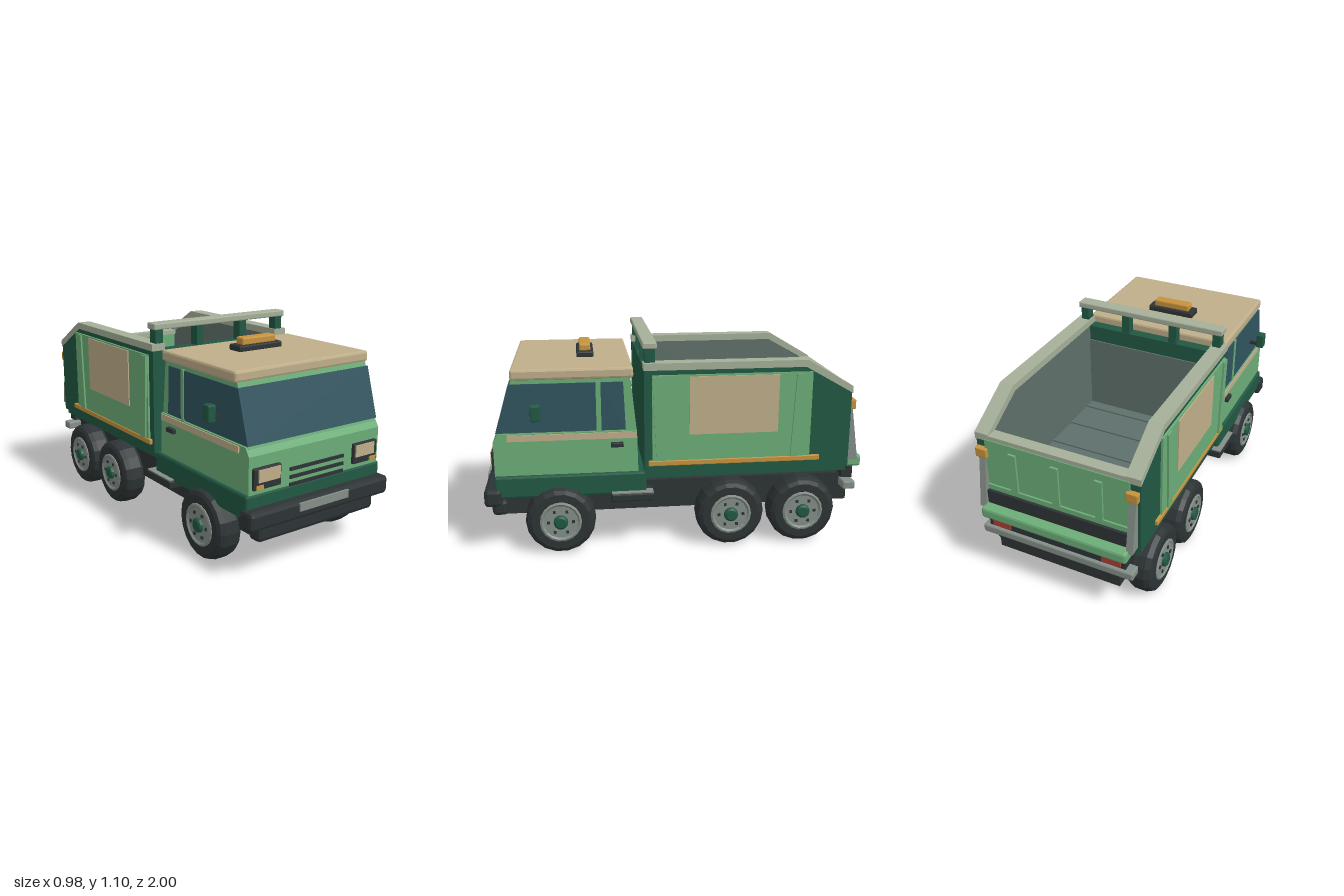
import * as THREE from 'three';
import { RoundedBoxGeometry } from 'three/addons/geometries/RoundedBoxGeometry.js';

const mat = (name, color) => {
  const m = new THREE.MeshStandardMaterial({ color });
  m.name = name;
  m.flatShading = true;
  return m;
};

export function createModel() {
  const truck = new THREE.Group();
  truck.name = 'dumpTruck';
  const green = mat('leafGreen', 0x6cad78);
  const dark = mat('deepGreen', 0x215843);
  const tan = mat('sand', 0xbfae8a);
  const trim = mat('paleTrim', 0xa5af99);
  const black = mat('charcoal', 0x2d3335);
  const glass = mat('glass', 0x31545f);
  const grey = mat('steel', 0x848e88);
  const slate = mat('slate', 0x5f706b);
  const amber = mat('amber', 0xc7933c);
  const red = mat('red', 0xb03a32);

  const add = (name, geo, material, parent = truck) => {
    const m = new THREE.Mesh(geo, material);
    m.name = name;
    parent.add(m);
    return m;
  };
  // Box from its limits, with an optional chamfer
  const box = (name, material, x0, x1, y0, y1, z0, z1, r = 0) => {
    const s = [x1 - x0, y1 - y0, z1 - z0];
    const geo = r ? new RoundedBoxGeometry(...s, 1, r) : new THREE.BoxGeometry(...s);
    geo.translate((x0 + x1) / 2, (y0 + y1) / 2, (z0 + z1) / 2);
    return add(name, geo, material);
  };
  const pair = (name, material, x0, x1, ...rest) => {
    box(name + 'Left', material, x0, x1, ...rest);
    box(name + 'Right', material, -x1, -x0, ...rest);
  };
  // Side outline of [z, y] points extruded from x0 to x1
  const prism = (name, material, x0, x1, pts) => {
    const shape = new THREE.Shape(pts.map(p => new THREE.Vector2(...p)));
    const geo = new THREE.ExtrudeGeometry(shape, { depth: x1 - x0, bevelEnabled: false });
    geo.rotateY(-Math.PI / 2).translate(x1, 0, 0);
    return add(name, geo, material);
  };
  const prismPair = (name, material, x0, x1, pts) => {
    prism(name + 'Left', material, x0, x1, pts);
    prism(name + 'Right', material, -x1, -x0, pts);
  };

  // Chassis and front bumper
  box('chassis', black, -0.34, 0.34, 0.195, 0.35, -0.945, 0.94);
  box('frontValance', black, -0.37, 0.37, 0.195, 0.28, 0.88, 0.96, 0.02);
  box('frontBumper', black, -0.44, 0.44, 0.27, 0.365, 0.9, 0.99, 0.02);
  box('frontPlate', grey, -0.155, 0.155, 0.315, 0.355, 0.985, 0.997);

  // Cab
  box('cabSkirt', dark, -0.425, 0.425, 0.31, 0.43, 0.16, 0.935, 0.012);
  prism('cabLowerBody', green, -0.41, 0.41,
    [[0.2, 0.42], [0.93, 0.42], [0.93, 0.61], [0.905, 0.65], [0.205, 0.65]]);
  prism('cabUpperBody', green, -0.4, 0.4,
    [[0.205, 0.64], [0.913, 0.64], [0.825, 0.93], [0.235, 0.93]]);
  box('roof', tan, -0.415, 0.415, 0.925, 0.98, 0.22, 0.83, 0.012);
  prism('windscreen', glass, -0.4, 0.4,
    [[0.9, 0.655], [0.916, 0.655], [0.84, 0.905], [0.824, 0.905]]);
  prismPair('frontSideWindow', glass, 0.399, 0.406,
    [[0.41, 0.655], [0.916, 0.655], [0.84, 0.905], [0.41, 0.905]]);
  prismPair('rearSideWindow', glass, 0.399, 0.406,
    [[0.262, 0.655], [0.385, 0.655], [0.385, 0.905], [0.272, 0.905]]);
  pair('windowPillar', green, 0.399, 0.41, 0.65, 0.91, 0.385, 0.41);
  pair('sideStripe', tan, 0.409, 0.416, 0.612, 0.645, 0.207, 0.86);
  pair('doorHandle', black, 0.405, 0.43, 0.568, 0.592, 0.275, 0.34, 0.004);
  pair('mirrorArm', black, 0.39, 0.455, 0.742, 0.758, 0.695, 0.715);
  pair('mirror', dark, 0.447, 0.49, 0.732, 0.815, 0.685, 0.735, 0.006);
  pair('step', black, 0.33, 0.455, 0.278, 0.322, 0.12, 0.345, 0.008);
  pair('stepTread', grey, 0.4, 0.453, 0.322, 0.328, 0.125, 0.34);
  box('beaconBase', black, -0.135, 0.135, 0.975, 1.01, 0.41, 0.5, 0.008);
  box('beacon', amber, -0.105, 0.105, 1.005, 1.045, 0.425, 0.485, 0.008);

  // Headlights and grille
  pair('headlightFrame', black, 0.23, 0.39, 0.45, 0.555, 0.92, 0.945, 0.006);
  pair('headlight', tan, 0.241, 0.366, 0.487, 0.547, 0.943, 0.951);
  pair('indicator', amber, 0.338, 0.378, 0.455, 0.474, 0.943, 0.951);
  for (const y of [0.432, 0.469, 0.508])
    box('grilleBar', black, -0.17, 0.17, y - 0.008, y + 0.008, 0.925, 0.938);

  // Tipper bed: floor, walls and rim
  box('bedBase', dark, -0.42, 0.42, 0.392, 0.46, -0.905, 0.165);
  box('bedFloor', slate, -0.37, 0.37, 0.455, 0.466, -0.87, 0.11);
  for (const z of [-0.73, -0.54, -0.35, -0.15, 0.04])
    box('floorRib', slate, -0.362, 0.362, 0.46, 0.474, z - 0.01, z + 0.01);
  prismPair('bedWall', dark, 0.37, 0.435,
    [[-0.91, 0.42], [0.17, 0.42], [0.17, 0.966], [-0.66, 0.966], [-0.91, 0.822]]);
  prismPair('wallLiner', slate, 0.363, 0.371,
    [[-0.87, 0.46], [0.11, 0.46], [0.11, 0.966], [-0.66, 0.966], [-0.87, 0.84]]);
  prismPair('bedRim', trim, 0.362, 0.439,
    [[-0.914, 0.82], [-0.66, 0.964], [0.172, 0.964], [0.172, 1], [-0.67, 1], [-0.914, 0.856]]);
  box('headboard', dark, -0.37, 0.37, 0.42, 0.966, 0.11, 0.168);
  box('headboardLiner', slate, -0.363, 0.363, 0.46, 0.88, 0.102, 0.111);

  // Rack above the headboard
  for (const x of [-0.392, -0.14, 0.14, 0.392])
    box('rackPost', dark, x - 0.022, x + 0.022, 0.95, 1.075, 0.112, 0.165);
  box('rackBar', trim, -0.425, 0.425, 1.07, 1.103, 0.103, 0.175, 0.006);

  // Outer side panels with ribs, sand patch and amber rail
  pair('sidePanel', green, 0.43, 0.446, 0.485, 0.94, -0.695, 0.13);
  prismPair('frontPanelRib', green, 0.445, 0.456,
    [[0.065, 0.495], [0.11, 0.495], [0.13, 0.935], [0.083, 0.935]]);
  prismPair('rearPanelRib', green, 0.445, 0.456,
    [[-0.635, 0.495], [-0.59, 0.495], [-0.61, 0.935], [-0.655, 0.935]]);
  pair('sandPatch', tan, 0.445, 0.452, 0.63, 0.932, -0.52, -0.06);
  pair('sideRail', amber, 0.43, 0.45, 0.465, 0.493, -0.75, 0.15, 0.004);

  // Tailgate
  box('tailgate', green, -0.385, 0.385, 0.54, 0.83, -0.92, -0.87);
  box('tailgateRim', trim, -0.38, 0.38, 0.826, 0.852, -0.915, -0.855);
  for (const x of [-0.23, 0, 0.23])
    box('tailgateRib', green, x - 0.02, x + 0.02, 0.57, 0.79, -0.932, -0.915);
  box('tailgateLowerBand', green, -0.385, 0.385, 0.54, 0.57, -0.93, -0.915);
  box('tailgateGap', black, -0.385, 0.385, 0.43, 0.542, -0.945, -0.87);
  box('rearLedge', green, -0.4, 0.4, 0.402, 0.465, -0.998, -0.91, 0.014);
  pair('rearMarker', amber, 0.37, 0.432, 0.73, 0.782, -0.938, -0.905, 0.005);
  prismPair('rearStrut', grey, 0.385, 0.42,
    [[-0.968, 0.45], [-0.905, 0.45], [-0.905, 0.73], [-0.925, 0.73]]);

  // Rear lights and bumper
  box('rearLightBeam', black, -0.38, 0.38, 0.335, 0.405, -0.96, -0.9);
  pair('tailLight', red, 0.255, 0.355, 0.345, 0.388, -0.968, -0.955);
  box('rearBumper', grey, -0.42, 0.42, 0.28, 0.325, -0.968, -0.9, 0.008);

  // Wheels, built along y and turned so the outside faces +x
  const R = 0.181;
  const lathe = pts =>
    new THREE.LatheGeometry(pts.map(p => new THREE.Vector2(...p)), 18).rotateZ(-Math.PI / 2);
  const tyreGeo = lathe([[0, -0.065], [0.15, -0.065], [0.17, -0.055], [R, -0.03], [R, 0.035],
    [0.17, 0.06], [0.15, 0.07], [0.11, 0.07], [0.1, 0.058], [0, 0.058]]);
  const rimGeo = lathe([[0.108, 0.055], [0.108, 0.073], [0.098, 0.077], [0.088, 0.07], [0, 0.07]]);
  const hubGeo = lathe([[0.038, 0.065], [0.036, 0.084], [0.026, 0.09], [0, 0.09]]);
  const boltGeo = new THREE.BoxGeometry(0.012, 0.014, 0.014);
  for (const side of [1, -1])
    for (const z of [0.607, -0.283, -0.671]) {
      const wheel = new THREE.Group();
      wheel.name = 'wheel';
      add('tyre', tyreGeo, black, wheel);
      add('rim', rimGeo, grey, wheel);
      add('hub', hubGeo, dark, wheel);
      for (let i = 0; i < 6; i++) {
        const a = (i * Math.PI) / 3;
        add('bolt', boltGeo, black, wheel).position.set(0.071, 0.064 * Math.sin(a), 0.064 * Math.cos(a));
      }
      wheel.position.set(side * 0.386, R + 0.003, z);
      if (side < 0) wheel.rotation.y = Math.PI;
      truck.add(wheel);
    }

  return truck;
}
